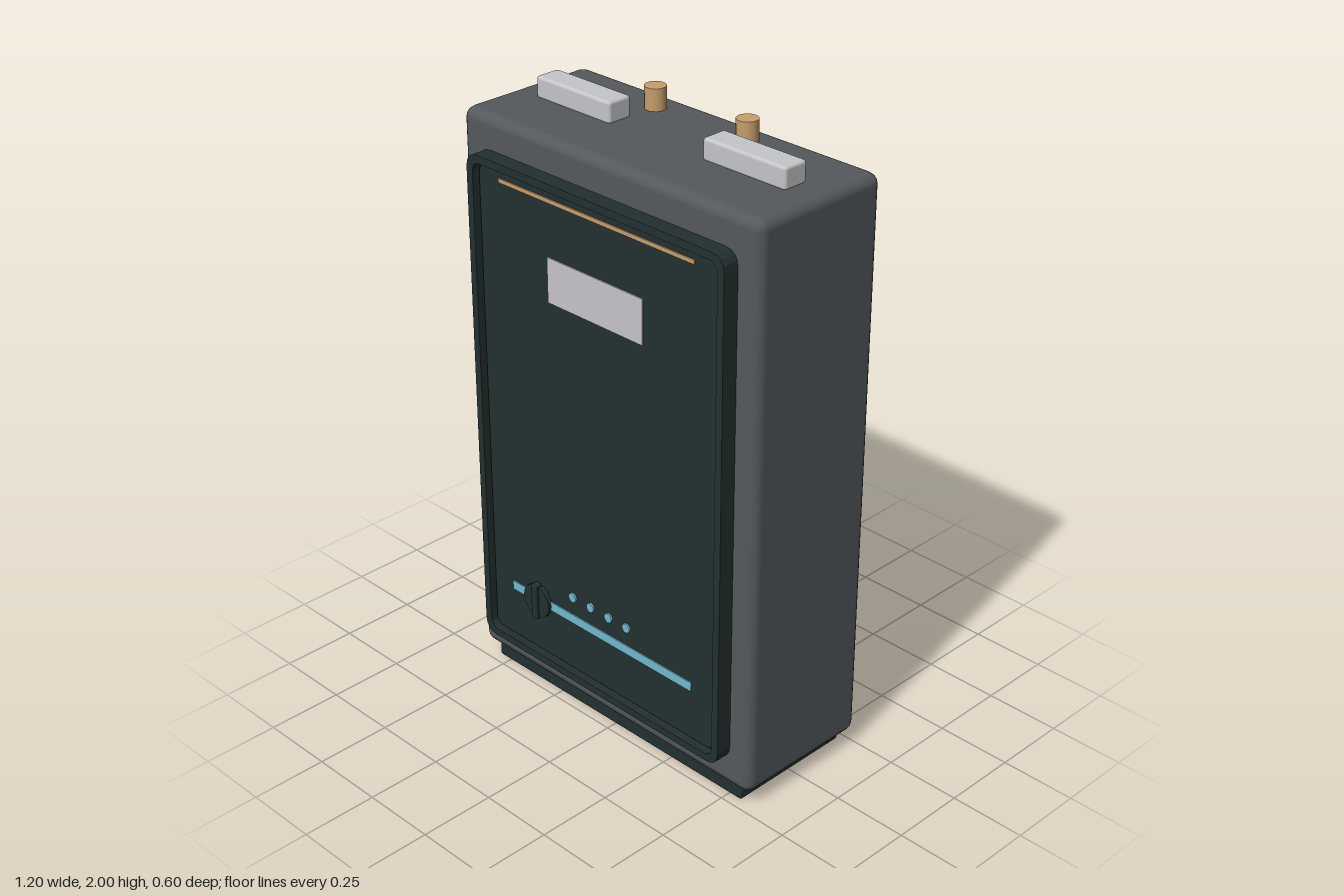
import * as THREE from 'three';
import { RoundedBoxGeometry } from 'three/addons/geometries/RoundedBoxGeometry.js';

const material = (name, color) => {
  const m = new THREE.MeshStandardMaterial({ color });
  m.name = name;
  return m;
};

// Rounded rectangle outline, usable as a shape or as a hole
function roundedRect(target, halfW, y0, y1, r) {
  target.moveTo(-halfW + r, y0);
  target.lineTo(halfW - r, y0);
  target.quadraticCurveTo(halfW, y0, halfW, y0 + r);
  target.lineTo(halfW, y1 - r);
  target.quadraticCurveTo(halfW, y1, halfW - r, y1);
  target.lineTo(-halfW + r, y1);
  target.quadraticCurveTo(-halfW, y1, -halfW, y1 - r);
  target.lineTo(-halfW, y0 + r);
  target.quadraticCurveTo(-halfW, y0, -halfW + r, y0);
  return target;
}

export function createModel() {
  const model = new THREE.Group();
  model.name = 'wallUnit';

  const grey = material('casing grey', 0x55595c);
  const dark = material('panel dark green', 0x233030);
  const light = material('light metal', 0xc4c6c9);
  const label = material('label grey', 0xc7c5ca);
  const brass = material('brass', 0xc79f6b);
  const blue = material('indicator blue', 0x70bace);

  const add = (name, geometry, mat, x = 0, y = 0, z = 0) => {
    const mesh = new THREE.Mesh(geometry, mat);
    mesh.name = name;
    mesh.position.set(x, y, z);
    model.add(mesh);
    return mesh;
  };
  // Box given by its limits, with optional softened edges
  const block = (name, mat, [x0, x1], [y0, y1], [z0, z1], r = 0) => {
    const size = [x1 - x0, y1 - y0, z1 - z0];
    const geometry = r ? new RoundedBoxGeometry(...size, 2, r) : new THREE.BoxGeometry(...size);
    return add(name, geometry, mat, (x0 + x1) / 2, (y0 + y1) / 2, (z0 + z1) / 2);
  };

  // Casing and plinth
  block('casing', grey, [-0.6, 0.6], [0.05, 1.93], [-0.252, 0.24], 0.035);
  block('plinth', dark, [-0.55, 0.55], [0, 0.09], [-0.225, 0.217], 0.008);

  // Raised frame around the recessed front panel
  const frame = roundedRect(new THREE.Shape(), 0.522, 0.15, 1.825, 0.05);
  frame.holes.push(roundedRect(new THREE.Path(), 0.497, 0.175, 1.8, 0.035));
  add('frontFrame', new THREE.ExtrudeGeometry(frame, { depth: 0.062, bevelEnabled: false, curveSegments: 4 }),
    dark, 0, 0, 0.232);
  const panel = roundedRect(new THREE.Shape(), 0.488, 0.184, 1.791, 0.03);
  add('frontPanel', new THREE.ExtrudeGeometry(panel, {
    depth: 0.033, bevelThickness: 0.01, bevelSize: 0.01, bevelSegments: 1, curveSegments: 4,
  }), dark, 0, 0, 0.232);

  // Trim, display and indicators on the panel
  const face = 0.275;
  const plate = [face - 0.002, face + 0.004];
  block('topTrim', brass, [-0.4, 0.395], [1.757, 1.77], plate);
  block('displayPlate', label, [-0.197, 0.195], [1.44, 1.585], plate);
  block('lowerStripe', blue, [-0.4, 0.395], [0.355, 0.386], plate);
  for (const x of [-0.12, -0.04, 0.04, 0.118]) {
    const lamp = add('indicatorLamp', new THREE.CylinderGeometry(0.016, 0.016, 0.008, 10), blue, x, 0.45, face + 0.002);
    lamp.rotation.x = Math.PI / 2;
  }

  // Control knob with its grip
  const knob = add('knob', new THREE.CylinderGeometry(0.058, 0.058, 0.016, 16), dark, -0.278, 0.37, 0.282);
  knob.rotation.x = Math.PI / 2;
  block('knobGrip', dark, [-0.29, -0.266], [0.308, 0.434], [0.275, 0.302], 0.005);

  // Top connectors and pipe stubs
  for (const s of [-1, 1]) {
    const xs = s < 0 ? [-0.498, -0.186] : [0.186, 0.498];
    block('topBlock', light, xs, [1.925, 1.995], [-0.052, 0.035], 0.01);
    add('pipeStub', new THREE.CylinderGeometry(0.034, 0.034, 0.09, 14), brass, s * 0.184, 1.955, -0.15);
  }

  // Rear mounting rails
  block('upperRail', light, [-0.313, 0.313], [1.517, 1.61], [-0.272, -0.235], 0.008);
  block('lowerRail', light, [-0.391, 0.391], [0.717, 0.843], [-0.298, -0.235], 0.008);

  return model;
}
